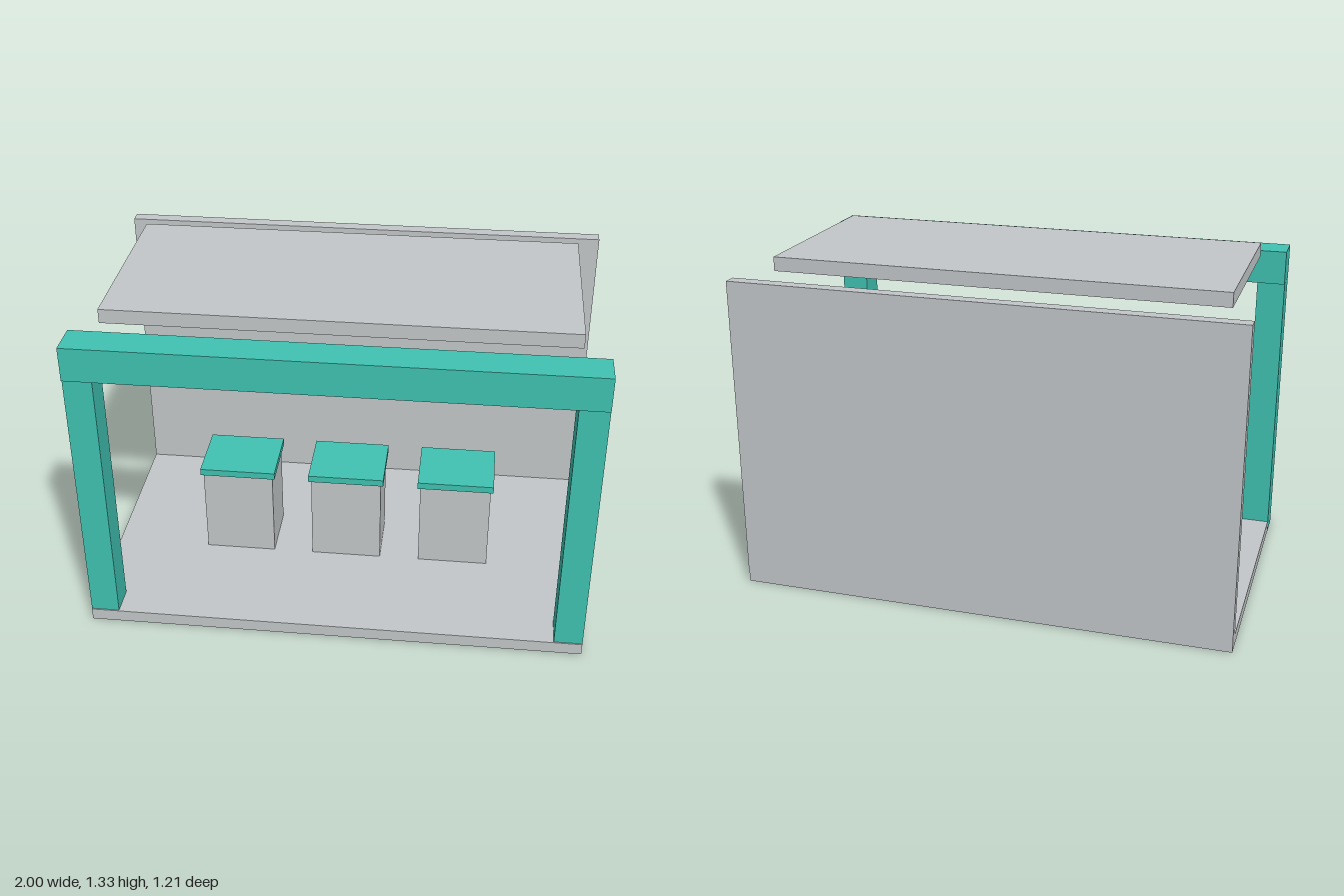
import * as THREE from 'three';

export function createModel() {
  const group = new THREE.Group();
  const grey = new THREE.MeshStandardMaterial({ color: 0xc3c7c9 });
  grey.name = 'light grey';
  const teal = new THREE.MeshStandardMaterial({ color: 0x40c2b2 });
  teal.name = 'teal';

  // Box given by its extents along each axis
  function box(name, material, [x0, x1], [y0, y1], [z0, z1], parent = group) {
    const mesh = new THREE.Mesh(new THREE.BoxGeometry(x1 - x0, y1 - y0, z1 - z0), material);
    mesh.position.set((x0 + x1) / 2, (y0 + y1) / 2, (z0 + z1) / 2);
    mesh.name = name;
    parent.add(mesh);
    return mesh;
  }

  // Booth shell: floor, back wall and floating canopy
  box('floor', grey, [-1, 1], [0, 0.05], [-0.6, 0.6]);
  box('backWall', grey, [-1, 1], [0.05, 1.283], [-0.603, -0.55]);
  box('canopy', grey, [-0.902, 0.902], [1.277, 1.334], [-0.392, 0.388]);

  // Front portal: beam on two posts let through the floor corners
  box('frontBeam', teal, [-1, 1], [1.145, 1.283], [0.465, 0.605]);
  box('leftPost', teal, [0.887, 1.0005], [-0.0005, 1.145], [0.475, 0.595]);
  box('rightPost', teal, [-1.0005, -0.887], [-0.0005, 1.145], [0.475, 0.595]);

  // Row of three display plinths with overhanging tops
  for (const x of [-0.46, 0, 0.46]) {
    const plinth = new THREE.Group();
    plinth.name = 'plinth';
    plinth.position.set(x, 0, -0.002);
    box('plinthBase', grey, [-0.147, 0.147], [0.05, 0.428], [-0.126, 0.126], plinth);
    box('plinthTop', teal, [-0.158, 0.158], [0.428, 0.457], [-0.136, 0.136], plinth);
    group.add(plinth);
  }

  return group;
}
